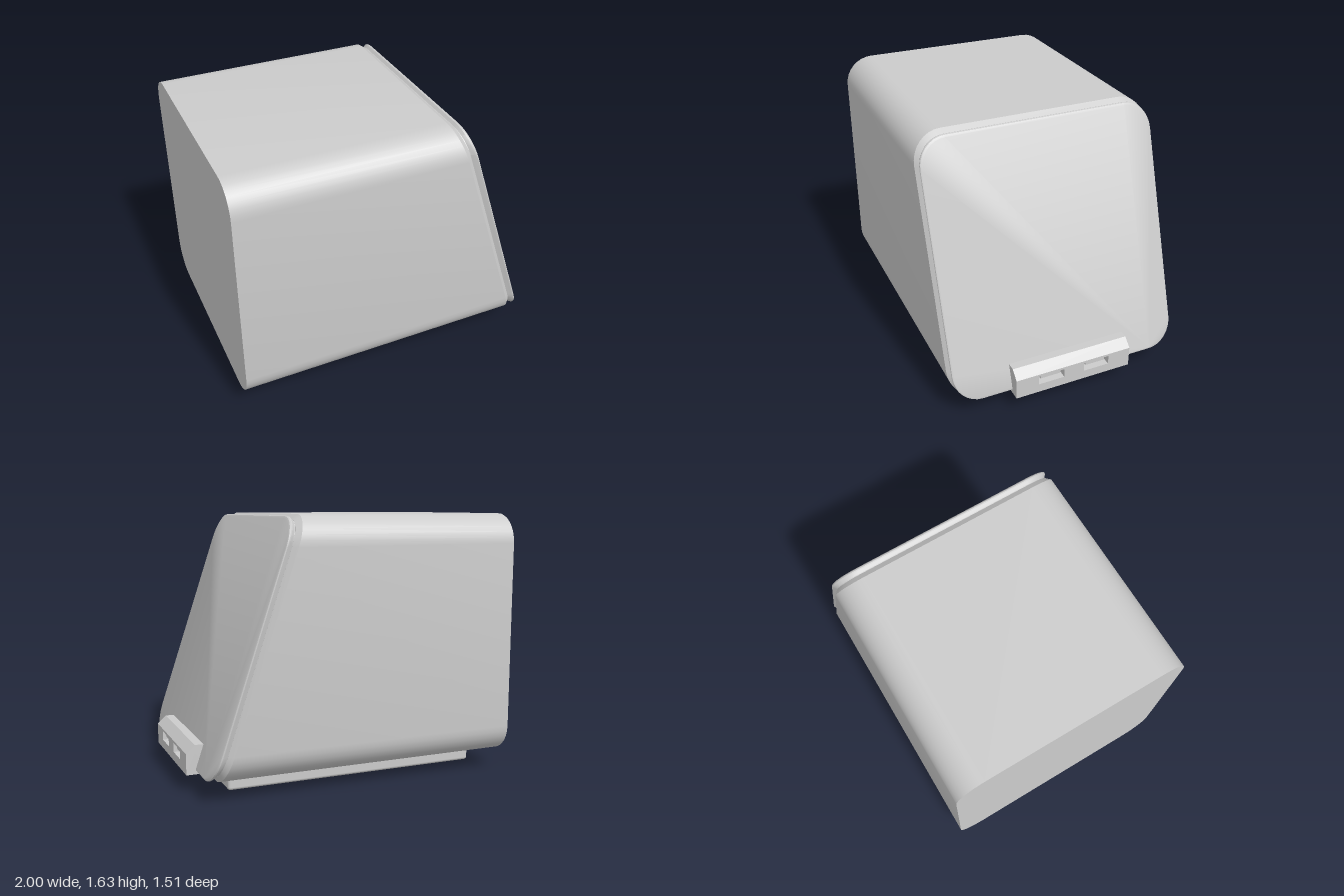
import * as THREE from 'three';
import { toCreasedNormals } from 'three/addons/utils/BufferGeometryUtils.js';
import { RoundedBoxGeometry } from 'three/addons/geometries/RoundedBoxGeometry.js';

const TOP = 1.63, BOTTOM = 0.11, HALF = 0.755, RADIUS = 0.18, STEPS = 8;
const SLOPE = 0.335;

// Rounded-square ring facing +x, inset from the full section and sheared by the slope
function ring(inset, x, slope) {
  const points = [], r = RADIUS - inset;
  const w = HALF - inset - r, mid = (TOP + BOTTOM) / 2, h = (TOP - BOTTOM) / 2 - inset - r;
  const corners = [[1, -1], [1, 1], [-1, 1], [-1, -1]];
  corners.forEach(([su, sv], c) => {
    for (let i = 0; i <= STEPS; i++) {
      const a = (c - 1 + i / STEPS) * Math.PI / 2;
      const u = su * w + r * Math.cos(a), y = mid + sv * h + r * Math.sin(a);
      points.push([x + slope * (TOP - y), y, -u]);
    }
  });
  return points;
}

// Skin over successive rings, closed at both ends
function loft(rings) {
  const pos = [], n = rings[0].length;
  const tri = (a, b, c) => pos.push(...a, ...b, ...c);
  for (let i = 0; i < rings.length - 1; i++) {
    for (let j = 0; j < n; j++) {
      const k = (j + 1) % n, p = rings[i], q = rings[i + 1];
      tri(p[j], p[k], q[k]);
      tri(p[j], q[k], q[j]);
    }
  }
  const first = rings[0], last = rings[rings.length - 1];
  for (let j = 1; j < n - 1; j++) {
    tri(first[0], first[j + 1], first[j]);
    tri(last[0], last[j], last[j + 1]);
  }
  const g = new THREE.BufferGeometry();
  g.setAttribute('position', new THREE.Float32BufferAttribute(pos, 3));
  return toCreasedNormals(g, 0.5);
}

function rectPath(path, x0, x1, y0, y1) {
  path.moveTo(x0, y0);
  path.lineTo(x1, y0);
  path.lineTo(x1, y1);
  path.lineTo(x0, y1);
  path.closePath();
  return path;
}

export function createModel() {
  const model = new THREE.Group();
  const grey = new THREE.MeshStandardMaterial({ color: 0xcccccc });
  const add = (name, geometry, parent = model) => {
    const mesh = new THREE.Mesh(geometry, grey);
    mesh.name = name;
    parent.add(mesh);
    return mesh;
  };

  // Housing: square back, slanted bevelled end
  add('housing', loft([
    ring(0, -1, 0),
    ring(0, 0.365, SLOPE),
    ring(0.027, 0.395, SLOPE),
  ]));

  // Thin slanted panel with a softened rim, separated from the housing by a groove
  add('slantedPanel', loft([
    ring(0.03, 0.385, SLOPE),
    ring(0.027, 0.4, SLOPE),
    ring(0.012, 0.42, SLOPE),
    ring(0.01, 0.428, SLOPE),
    ring(0.013, 0.435, SLOPE),
    ring(0.024, 0.44, SLOPE),
  ]));

  // Foot under the housing
  const base = add('base', new RoundedBoxGeometry(1.66, 0.14, 0.94, 3, 0.018));
  base.position.set(-0.06, 0.07, 0);

  // Connector block at the foot of the panel
  const connector = new THREE.Group();
  connector.name = 'connectorBlock';
  model.add(connector);
  const profile = new THREE.Shape([
    [0.81, 0.1], [0.95, 0.1], [0.95, 0.23], [1, 0.23], [0.945, 0.28], [0.85, 0.28],
  ].map(([x, y]) => new THREE.Vector2(x, y)));
  const body = add('connectorBody',
    new THREE.ExtrudeGeometry(profile, { depth: 0.77, bevelEnabled: false }), connector);
  body.position.z = -0.385;

  // Face plate with two port openings, each holding a small tongue
  const face = rectPath(new THREE.Shape(), -0.385, 0.385, 0.1, 0.23);
  for (const side of [-1, 1]) {
    const z = side * 0.152;
    face.holes.push(rectPath(new THREE.Path(), z - 0.085, z + 0.085, 0.157, 0.215));
    const tongue = add('portTongue', new THREE.BoxGeometry(0.035, 0.02, 0.13), connector);
    tongue.position.set(0.965, 0.192, z);
  }
  const plate = add('connectorFace',
    new THREE.ExtrudeGeometry(face, { depth: 0.05, bevelEnabled: false }), connector);
  plate.rotation.y = Math.PI / 2;
  plate.position.x = 0.95;

  return model;
}
